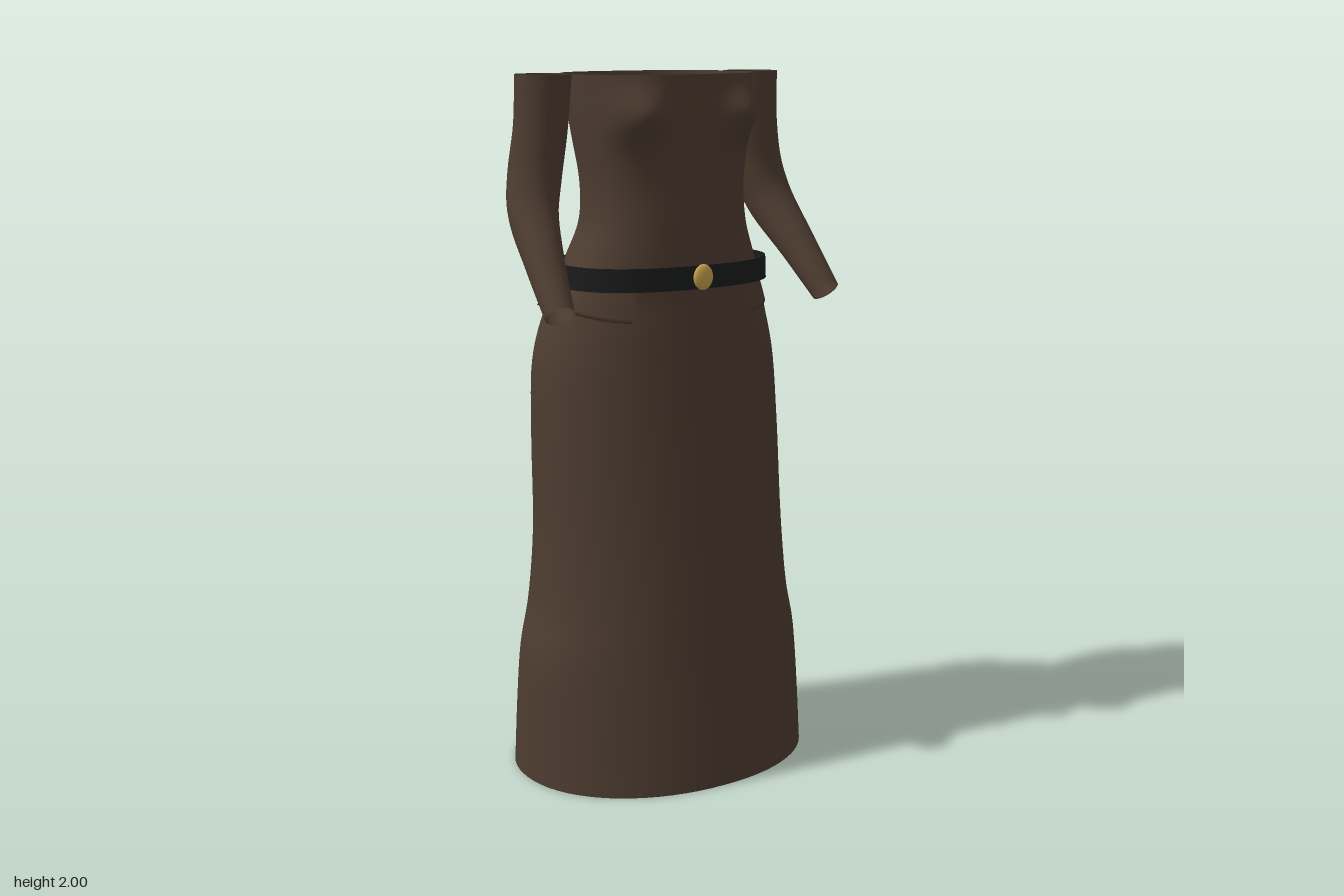
import * as THREE from 'three';

// Skin a grid of points: rows of rings, optionally closed around
function skin(rows, closed = true) {
  const n = rows[0].length, pos = [], idx = [];
  rows.forEach(r => r.forEach(p => pos.push(p.x, p.y, p.z)));
  for (let j = 0; j < rows.length - 1; j++) {
    for (let i = 0; i < (closed ? n : n - 1); i++) {
      const a = j * n + i, b = j * n + (i + 1) % n;
      idx.push(a, a + n, b, b, a + n, b + n);
    }
  }
  const g = new THREE.BufferGeometry();
  g.setAttribute('position', new THREE.Float32BufferAttribute(pos, 3));
  g.setIndex(idx);
  g.computeVertexNormals();
  return g;
}

// Point on a rounded-oblong section: half width, front z, back z, squareness
function oblong(a, y, hx, zf, zb, n) {
  const p = v => Math.sign(v) * Math.abs(v) ** (2 / n);
  return new THREE.Vector3(hx * p(Math.cos(a)), y, (zf + zb) / 2 + (zf - zb) / 2 * p(Math.sin(a)));
}

function ring(y, hx, zf, zb, n, count = 72) {
  return Array.from({ length: count }, (_, i) => oblong(i / count * Math.PI * 2, y, hx, zf, zb, n));
}

// Smooth interpolation through table rows [y, hx, zf, zb, n]
function sections(table, steps) {
  const a = new THREE.CatmullRomCurve3(table.map(r => new THREE.Vector3(r[0], r[1], r[4])));
  const b = new THREE.CatmullRomCurve3(table.map(r => new THREE.Vector3(r[0], r[2], r[3])));
  return Array.from({ length: steps + 1 }, (_, i) => {
    const p = a.getPoint(i / steps), q = b.getPoint(i / steps);
    return ring(p.x, p.y, q.y, q.z, p.z);
  });
}

export function createModel() {
  const model = new THREE.Group();
  model.name = 'dress';
  const cloth = new THREE.MeshStandardMaterial({ name: 'brown cloth', color: 0x4d3c30, side: THREE.DoubleSide });
  const leather = new THREE.MeshStandardMaterial({ name: 'black leather', color: 0x1a1b1c, side: THREE.DoubleSide });
  const gold = new THREE.MeshStandardMaterial({ name: 'gold', color: 0xc4a24e });
  const add = (name, geometry, material) => {
    const m = new THREE.Mesh(geometry, material);
    m.name = name;
    model.add(m);
    return m;
  };

  // Long flared skirt, open at the hem
  const skirt = sections([
    [0, 0.45, 0.35, -0.35, 2.1],
    [0.2, 0.443, 0.329, -0.33, 2.1],
    [0.36, 0.434, 0.312, -0.313, 2.07],
    [0.5, 0.402, 0.297, -0.3, 2.16],
    [0.7, 0.385, 0.275, -0.281, 2.18],
    [1.0, 0.38, 0.243, -0.279, 2.2],
    [1.2, 0.37, 0.222, -0.277, 2.2],
    [1.32, 0.34, 0.21, -0.255, 2.25],
    [1.38, 0.318, 0.203, -0.22, 2.3],
    [1.45, 0.3, 0.198, -0.2, 2.4],
  ], 54);
  add('skirt', skin(skirt), cloth);

  // Fitted bodice with a shaped chest
  const bodice = sections([
    [1.43, 0.303, 0.2, -0.2, 2.4],
    [1.5, 0.275, 0.195, -0.183, 2.5],
    [1.6, 0.24, 0.188, -0.152, 2.6],
    [1.7, 0.237, 0.18, -0.148, 2.6],
    [1.85, 0.255, 0.188, -0.178, 2.6],
    [2, 0.27, 0.19, -0.21, 2.6],
  ], 40);
  bodice.forEach(row => row.forEach(p => {
    if (p.z > 0) {
      const dx = (Math.abs(p.x) - 0.17) / 0.07, dy = (p.y - 1.895) / 0.065;
      p.z += 0.055 * Math.exp(-dx * dx - dy * dy) * Math.min(1, p.z / 0.1);
    }
  }));
  add('bodice', skin(bodice), cloth);

  // Peplum flap around the hips, open at the front, two lobes at the back
  const flap = [], cols = 90, a0 = -237 * Math.PI / 180, a1 = 57 * Math.PI / 180;
  for (let j = 0; j <= 9; j++) {
    const t = j === 0 ? 1 : 1 - (j - 1) / 8, tuck = j === 0 ? 0.018 : 0;
    flap.push(Array.from({ length: cols + 1 }, (_, i) => {
      const a = a0 + (a1 - a0) * i / cols, s = Math.sin(a);
      const low = 1.33 + 0.033 * Math.cos(a) ** 4 + 0.006 * Math.cos(a * 6) * (s < 0 ? 1 : 0) * s * s;
      const p = oblong(a, 1.43 + (low - 1.43) * t,
        0.303 + 0.038 * t ** 0.8 - tuck, 0.2 + 0.014 * t - tuck, -0.205 - 0.083 * t ** 0.8 + tuck, 2.3);
      if (s < 0) p.z += 0.025 * t * Math.exp(-((p.x / 0.05) ** 2));
      return p;
    }));
  }
  add('peplum', skin(flap, false), cloth);

  // Thin belt band
  add('belt', skin([
    ring(1.42, 0.321, 0.222, -0.218, 2.4),
    ring(1.485, 0.317, 0.222, -0.215, 2.4),
  ]), leather);

  // Domed oval buckle
  const buckle = add('buckle', new THREE.SphereGeometry(1, 24, 16), gold);
  buckle.scale.set(0.031, 0.036, 0.013);
  buckle.position.set(0, 1.453, 0.227);

  // Bent sleeves, open at shoulder and wrist: x, y, z, radius
  const arm = [
    [0.343, 2, -0.047, 0.078], [0.351, 1.86, -0.05, 0.075], [0.371, 1.73, -0.05, 0.075],
    [0.394, 1.635, -0.02, 0.07], [0.421, 1.5, 0.095, 0.054], [0.44, 1.378, 0.206, 0.041],
  ];
  const path = new THREE.CatmullRomCurve3(arm.map(r => new THREE.Vector3(r[0], r[1], r[2])));
  const radius = new THREE.CatmullRomCurve3(arm.map((r, i) => new THREE.Vector3(i, r[3], 0)));
  const rings = [];
  for (let j = 0; j <= 30; j++) {
    const t = j / 30, c = path.getPoint(t), r = radius.getPoint(t).y;
    const dir = j === 0 ? new THREE.Vector3(0, -1, 0) : path.getTangent(t);
    const u = new THREE.Vector3(1, 0, 0).addScaledVector(dir, -dir.x).normalize();
    const v = new THREE.Vector3().crossVectors(u, dir);
    rings.unshift(Array.from({ length: 32 }, (_, i) => {
      const a = i / 32 * Math.PI * 2;
      return c.clone().addScaledVector(u, r * Math.cos(a)).addScaledVector(v, -r * Math.sin(a));
    }));
  }
  const sleeve = skin(rings);
  add('leftSleeve', sleeve, cloth);
  add('rightSleeve', sleeve, cloth).scale.x = -1;

  return model;
}
